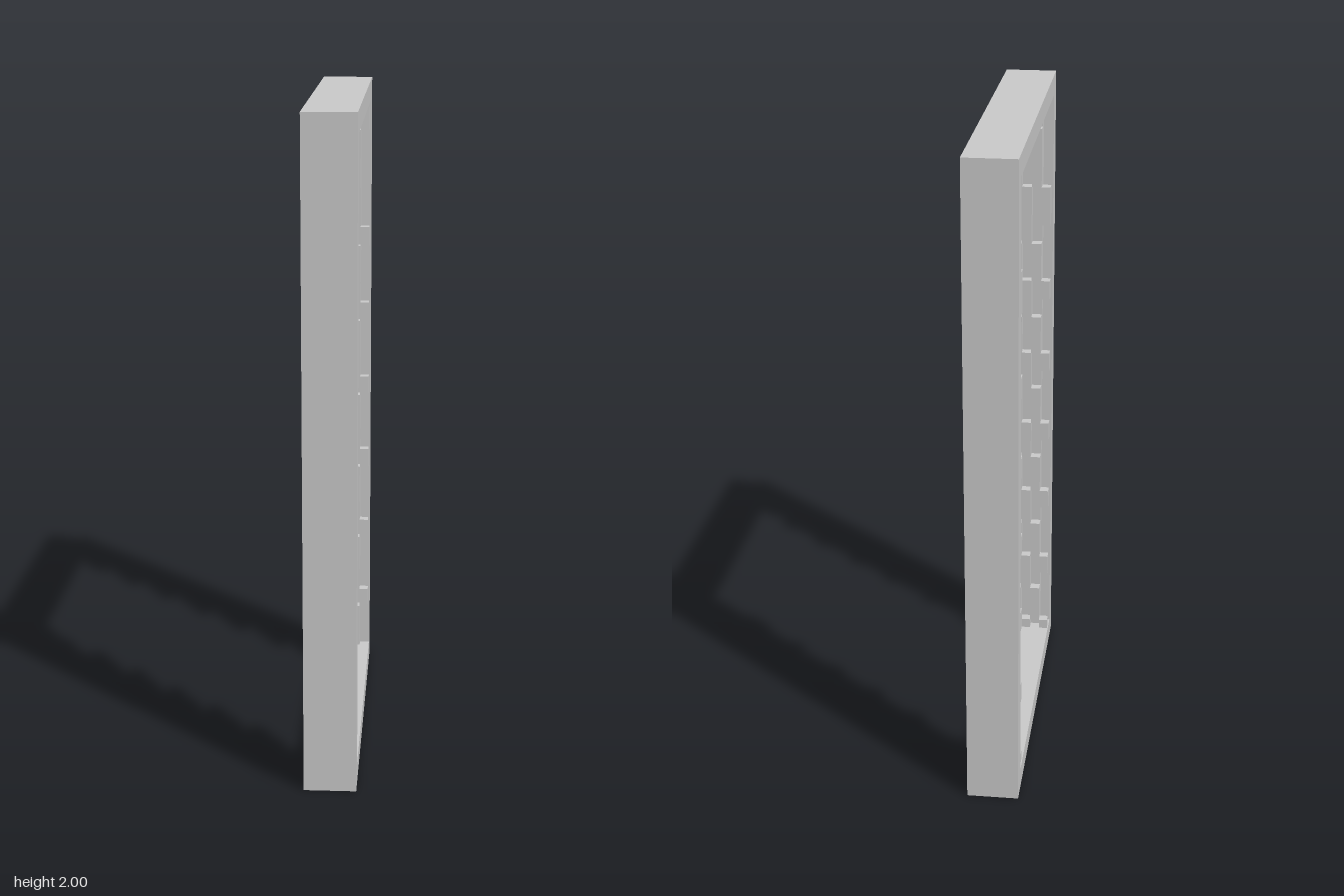
import * as THREE from 'three';

const U = 1 / 32; // modelling unit

export function createModel() {
  const model = new THREE.Group();
  model.name = 'tallFrame';
  const material = new THREE.MeshStandardMaterial({ color: 0xcccccc, flatShading: true });

  // Box given by its limits in modelling units
  function box(parent, name, x0, x1, y0, y1, z0, z1) {
    const mesh = new THREE.Mesh(
      new THREE.BoxGeometry((x1 - x0) * U, (y1 - y0) * U, (z1 - z0) * U), material);
    mesh.position.set((x0 + x1) / 2 * U, (y0 + y1) / 2 * U, (z0 + z1) / 2 * U);
    mesh.name = name;
    parent.add(mesh);
  }

  // Rectangular outer frame with one open window, extruded along x
  const rect = (Path, w, y0, y1) => new Path([[-w, y0], [w, y0], [w, y1], [-w, y1]]
    .map(([a, b]) => new THREE.Vector2(a * U, b * U)));
  const outline = rect(THREE.Shape, 17, 0, 64);
  outline.holes.push(rect(THREE.Path, 15, 2, 62));
  const frameGeometry = new THREE.ExtrudeGeometry(outline, { depth: 5 * U, bevelEnabled: false });
  frameGeometry.translate(0, 0, -2.5 * U).rotateY(Math.PI / 2);
  const frame = new THREE.Mesh(frameGeometry, material);
  frame.name = 'outerFrame';
  model.add(frame);

  // Repeating y ranges, eight units apart
  const rightTeeth = [[59, 62], [47, 49]];
  const leftTeeth = [[49, 53], [2, 3]];
  const centreBlocks = [[59, 62], [47, 53], [2, 3]];
  const sideBlocks = [[53, 59]];
  for (let y = 3; y <= 43; y += 8) {
    sideBlocks.push([y, y + 4]);
    if (y === 43) continue;
    rightTeeth.push([y + 4, y + 6]);
    leftTeeth.push([y + 6, y + 8]);
    centreBlocks.push([y + 4, y + 8]);
  }

  // Lining of each post: backing strip, staggered blocks and teeth
  for (const side of [1, -1]) {
    const lining = new THREE.Group();
    lining.name = side > 0 ? 'frontPostLining' : 'backPostLining';
    const put = (name, x0, x1, y0, y1, z0, z1) => side > 0
      ? box(lining, name, x0, x1, y0, y1, z0, z1)
      : box(lining, name, x0, x1, y0, y1, -z1, -z0);
    put('backingStrip', -1.5, 1.5, 2, 62, 14, 15);
    for (const [a, b] of centreBlocks) put('centreBlock', -0.5, 0.5, a, b, 13, 14);
    for (const [a, b] of sideBlocks) {
      put('leftBlock', 0.5, 1.5, a, b, 13, 14);
      put('rightBlock', -1.5, -0.5, a, b, 13, 14);
    }
    for (const [a, b] of rightTeeth) put('leftTooth', 1.5, 2.4, a, b, 13, 14);
    for (const [a, b] of leftTeeth) put('rightTooth', -2.4, -1.5, a, b, 13, 14);
    model.add(lining);
  }
  return model;
}
